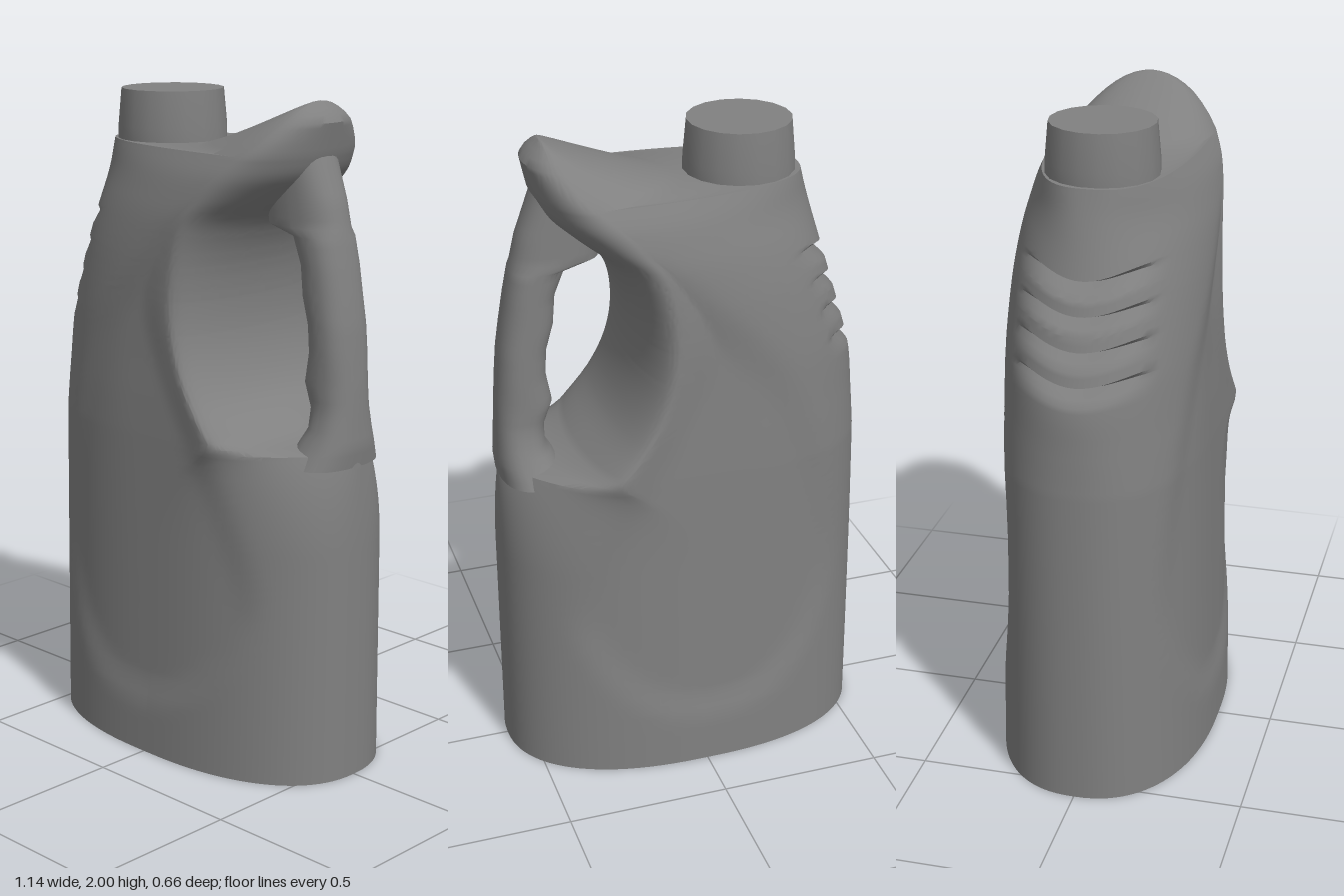
import * as THREE from 'three';
import { toCreasedNormals } from 'three/addons/utils/BufferGeometryUtils.js';

const { smoothstep, clamp } = THREE.MathUtils;

// One level: height, left end, straight side from xm to xc, right end, half width, roundness of each end
const FIELDS = ['y', 'xl', 'xm', 'xc', 'xr', 'z', 'nl', 'nr'];
const row = (...v) => Object.fromEntries(FIELDS.map((f, i) => [f, v[i] ?? 2]));
const blend = fn => Object.fromEntries(FIELDS.map(f => [f, fn(f)]));
const mix = (a, b, t) => blend(f => a[f] + (b[f] - a[f]) * t);

// Outline of one level, counted from the left end round the front
function section(r, caps, sides) {
  const half = [];
  const quarter = (i, n) => {
    const t = Math.min(i / caps, 0.99999) * Math.PI / 2;
    return [Math.cos(t) ** (2 / n), Math.sin(t) ** (2 / n)];
  };
  for (let i = 0; i <= caps; i++) {
    const [c, s] = quarter(i, r.nl);
    half.push([r.xm - (r.xm - r.xl) * c, r.z * s]);
  }
  for (let i = 1; i < sides; i++) half.push([r.xm + (r.xc - r.xm) * i / sides, r.z]);
  for (let i = caps; i >= 0; i--) {
    const [c, s] = quarter(i, r.nr);
    half.push([r.xc + (r.xr - r.xc) * c, r.z * s]);
  }
  return [...half, ...half.slice(1, -1).reverse().map(([x, z]) => [x, -z])];
}

// Skin through key levels, subdivided in height, with an optional vertex rule
function loft(keys, caps, sides, step, rule = p => p) {
  const rows = [keys[0]];
  for (let i = 1; i < keys.length; i++) {
    const a = keys[i - 1], b = keys[i];
    const count = Math.max(1, Math.ceil(Math.abs(b.y - a.y) / step));
    for (let k = 1; k <= count; k++) rows.push(mix(a, b, k / count));
  }
  const pos = [], index = [];
  rows.forEach((r, i) => {
    const pts = section(r, caps, sides), n = pts.length;
    pts.forEach(([x, z], j) => {
      pos.push(...rule([x, r.y, z], r));
      if (i === rows.length - 1) return;
      const a = i * n + j, b = i * n + (j + 1) % n;
      index.push(a, b, b + n, a, b + n, a + n);
    });
  });
  const geo = new THREE.BufferGeometry();
  geo.setAttribute('position', new THREE.Float32BufferAttribute(pos, 3));
  geo.setIndex(index);
  return toCreasedNormals(geo, 0.7);
}

// Extra levels on a smooth curve through the given ones
function smoothRows(keys, parts) {
  const out = [];
  for (let i = 0; i < keys.length - 1; i++) {
    const [a, b, c, d] = [-1, 0, 1, 2].map(k => keys[clamp(i + k, 0, keys.length - 1)]);
    for (let k = 0; k < parts; k++) {
      const t = k / parts;
      out.push(blend(f => b[f] + 0.5 * t * (c[f] - a[f] + t * (2 * a[f] - 5 * b[f] + 4 * c[f] - d[f]
        + t * (3 * (b[f] - c[f]) + d[f] - a[f])))));
    }
  }
  return [...out, keys.at(-1)];
}

// Teardrop outline of the sunken side panels
const panel = new THREE.SplineCurve([
  [0.4, 1.93], [0, 1.6], [-0.34, 1.2], [-0.47, 0.7], [-0.41, 0.38], [-0.23, 0.18], [0, 0.13],
  [0.22, 0.2], [0.38, 0.38], [0.43, 0.6], [0.28, 1.0], [0.08, 1.4], [0.2, 1.75], [0.4, 1.93],
].map(p => new THREE.Vector2(...p))).getSpacedPoints(160);

function panelDepth(x, y) {
  let inside = false, d = 1;
  for (let i = 0; i < panel.length - 1; i++) {
    const a = panel[i], b = panel[i + 1];
    if ((a.y > y) !== (b.y > y) && x < a.x + (b.x - a.x) * (y - a.y) / (b.y - a.y)) inside = !inside;
    d = Math.min(d, Math.hypot(a.x - x, a.y - y));
  }
  return inside ? 0.014 * smoothstep(d, 0, 0.13) : 0;
}

// Saw-tooth depth of the four finger grips
const GRIP = { start: 1.265, pitch: 0.095, count: 4, rise: 0.045, back: 0.057, depth: 0.042 };
function gripDepth(y) {
  const t = y - GRIP.start;
  if (t < 0 || t > GRIP.pitch * GRIP.count) return 0;
  const f = t % GRIP.pitch;
  if (f < GRIP.rise) return GRIP.depth * f / GRIP.rise;
  return GRIP.depth * Math.max(0, 1 - (f - GRIP.rise) / (GRIP.back - GRIP.rise));
}

function bodyRule([x, y, z], r) {
  if (y < 0.1) return [x, y, z];
  const d = x - r.xl;
  const inset = Math.abs(z) > 0.1 ? panelDepth(x, y) : 0;
  // Grips fade towards the sides and sweep upwards
  const lift = smoothstep(y, 1.16, 1.3) * (1 - smoothstep(y, 1.6, 1.8));
  const cut = x < r.xm ? gripDepth(y) * Math.max(0, 1 - (z / 0.21) ** 2) : 0;
  return [x + cut, y + lift * 0.8 * d * Math.exp(-d / 0.13), z - Math.sign(z) * inset];
}

// Hollowed underside, scaled from the base outline
const baseRow = (y, s) => row(y, -0.572 * s, -0.02 * s, 0.02 * s, 0.572 * s, 0.33 * s, 2.3, 2.3);

// Lower body, easing into the shoulders beside the handle
function lowerRow(y) {
  const u = clamp((y - 0.7) / 0.3, 0, 1) ** 2;
  return row(y, -0.572 + 0.008 * y ** 3, -0.02 - 0.045 * y * y, 0.02 + 0.225 * u, 0.572 - 0.01 * u,
    0.33 - 0.016 * y, 2.3 - 0.08 * y, 2.3 - 0.95 * u);
}

// Rising lip, t from the shoulder to the crest
function lipRow(t) {
  const xm = 0.285 + 0.115 * t ** 0.8;
  return row(1.85 + 0.15 * t, -0.02 + 0.42 * t ** 0.85, xm, xm + 0.015 * (1 - t),
    Math.min(0.433 + 0.036 * t, 0.457 - 0.165 * (t - 0.667)), 0.222 * Math.sqrt(1 - t));
}

// Waist in front of the handle, up to the shoulder under the cap
const waistKeys = [
  row(1.03, -0.562, -0.07, 0.255, 0.345, 0.313, 2.2, 1.8),
  row(1.13, -0.556, -0.09, 0.175, 0.24, 0.309, 2.1),
  row(1.25, -0.546, -0.1, 0.112, 0.183, 0.303),
  row(1.38, -0.51, -0.08, 0.082, 0.165, 0.298),
  row(1.52, -0.468, -0.02, 0.085, 0.183, 0.293),
  row(1.64, -0.432, 0.075, 0.115, 0.24, 0.285),
  row(1.72, -0.408, 0.15, 0.175, 0.33, 0.272, 2.1),
  row(1.79, -0.387, 0.22, 0.235, 0.405, 0.253, 2.3),
  row(1.85, -0.37, 0.285, 0.3, 0.433, 0.222, 2.7),
];

function bodyKeys() {
  const keys = [baseRow(0.07, 0.001), baseRow(0.065, 0.4), baseRow(0.045, 0.7), baseRow(0, 0.87)];
  for (let i = 0; i <= 40; i++) keys.push(lowerRow(i / 40));
  keys.push(...smoothRows(waistKeys, 4));
  for (let i = 0; i <= 8; i++) keys.push(lipRow(1 - (1 - i / 8) ** 2));
  // Levels at every corner of the grips
  for (let k = 0; k < GRIP.count; k++) {
    for (const f of [0, GRIP.rise, GRIP.back]) {
      const y = GRIP.start + k * GRIP.pitch + f;
      const i = keys.findIndex(key => key.y > y);
      const a = keys[i - 1], b = keys[i];
      keys.splice(i, 0, mix(a, b, (y - a.y) / (b.y - a.y)));
    }
  }
  return keys;
}

// Handle levels: height, inner x, outer x; the foot flares in width
const handleKeys = [
  [0.96, 0.36, 0.562], [1.02, 0.39, 0.57], [1.07, 0.42, 0.568], [1.13, 0.42, 0.566], [1.2, 0.393, 0.563],
  [1.29, 0.41, 0.556], [1.37, 0.405, 0.549], [1.45, 0.382, 0.537], [1.54, 0.375, 0.521],
  [1.62, 0.342, 0.505], [1.645, 0.24, 0.498], [1.72, 0.23, 0.48], [1.84, 0.25, 0.434], [1.9, 0.3, 0.41],
].map(([y, a, b]) => {
  const halfWidth = 0.086 + 0.065 * Math.max(0, (1.13 - y) / 0.17) ** 1.5;
  return row(y, a, a + (b - a) * 0.48, a + (b - a) * 0.52, b, halfWidth, 2.4, 2.4);
});

export function createModel() {
  const group = new THREE.Group();
  const material = new THREE.MeshStandardMaterial({ color: 0x808080, side: THREE.DoubleSide });
  const add = (name, geometry) => {
    const mesh = new THREE.Mesh(geometry, material);
    mesh.name = name;
    group.add(mesh);
    return mesh;
  };

  add('body', loft(bodyKeys(), 24, 12, 0.025, bodyRule));
  add('handle', loft(handleKeys, 7, 1, 0.03));

  // Screw cap with a slight taper
  const profile = [[0, 1.84], [0.165, 1.84], [0.165, 1.89], [0.155, 2.0], [0, 2.0]]
    .map(([r, y]) => new THREE.Vector2(r, y));
  const cap = add('cap', toCreasedNormals(new THREE.LatheGeometry(profile, 18), 0.6));
  cap.position.x = -0.193;

  return group;
}
